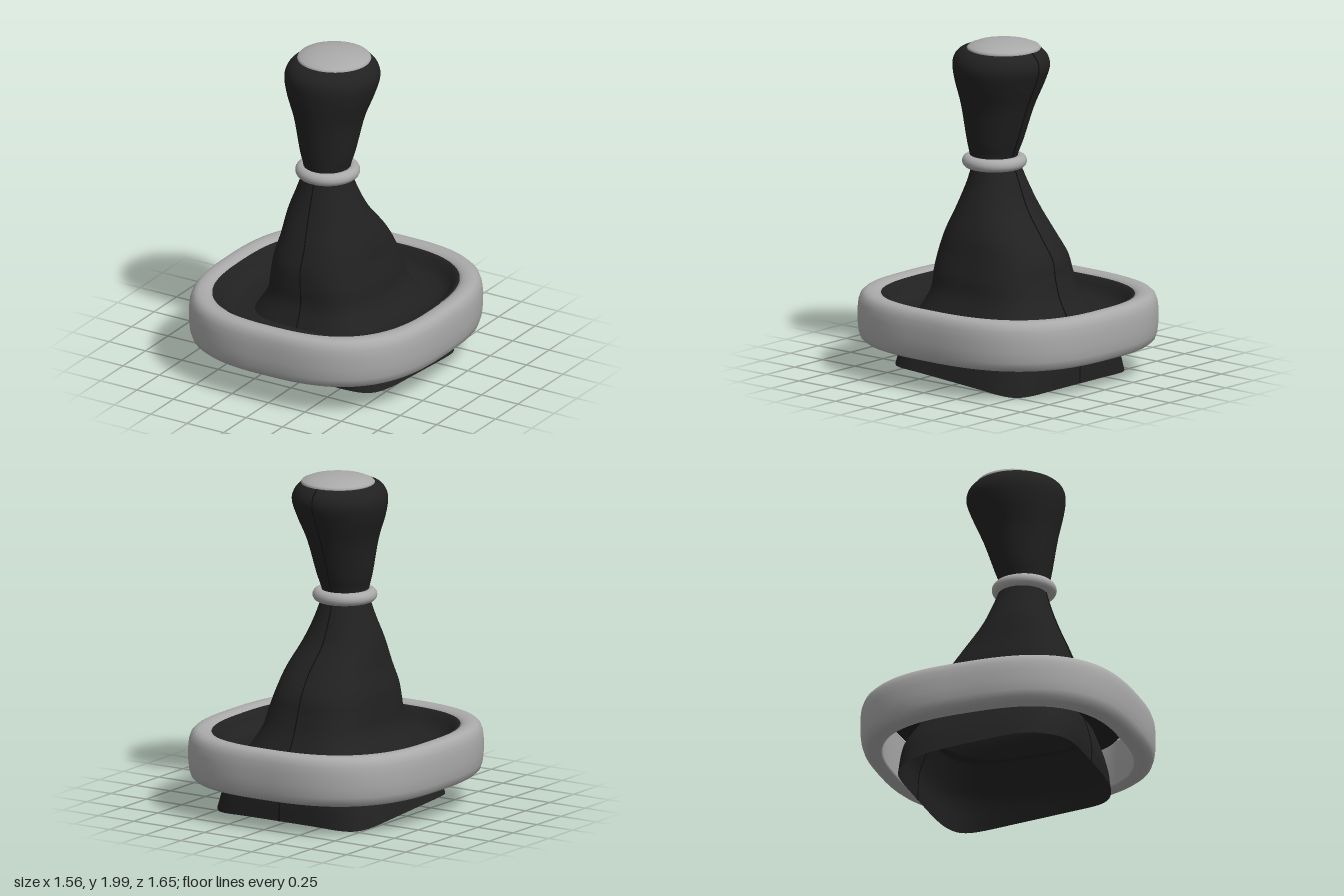
import * as THREE from 'three';

const grey = new THREE.MeshStandardMaterial({ color: 0xaaaaaa });
grey.name = 'satin grey';
const black = new THREE.MeshStandardMaterial({ color: 0x212121, side: THREE.DoubleSide });
black.name = 'black leather';
const dark = new THREE.MeshStandardMaterial({ color: 0x0e0e0e });
dark.name = 'seam black';

// Point on a rounded-square section [y, xMin, xMax, zFront, zBack, exponent]
function sectionPoint([y, x0, x1, zf, zb, n], angle) {
  const c = Math.cos(angle), s = Math.sin(angle);
  const px = Math.sign(c) * Math.abs(c) ** (2 / n);
  const pz = Math.sign(s) * Math.abs(s) ** (2 / n);
  return new THREE.Vector3((x0 + x1) / 2 + (x1 - x0) / 2 * px, y, (zf + zb) / 2 + (zf - zb) / 2 * pz);
}

// Smoothly resample the section rows
function refine(rows, count) {
  const a = new THREE.CatmullRomCurve3(rows.map(r => new THREE.Vector3(r[0], r[1], r[2])), false, 'catmullrom');
  const b = new THREE.CatmullRomCurve3(rows.map(r => new THREE.Vector3(r[3], r[4], r[5])), false, 'catmullrom');
  return Array.from({ length: count + 1 }, (_, i) => [
    ...a.getPoint(i / count).toArray(), ...b.getPoint(i / count).toArray()]);
}

// Skin the sections into one smooth surface
function loft(rows, name, material, place = p => p, segments = 96) {
  const positions = [], index = [];
  rows.forEach((row, i) => {
    for (let j = 0; j < segments; j++) {
      const angle = j / segments * Math.PI * 2;
      positions.push(...place(sectionPoint(row, angle), angle).toArray());
      if (i === rows.length - 1) continue;
      const k = (j + 1) % segments, a = i * segments, b = a + segments;
      index.push(a + j, b + j, a + k, a + k, b + j, b + k);
    }
  });
  const g = new THREE.BufferGeometry();
  g.setAttribute('position', new THREE.Float32BufferAttribute(positions, 3));
  g.setIndex(index);
  g.computeVertexNormals();
  const mesh = new THREE.Mesh(g, material);
  mesh.name = name;
  return mesh;
}

// Thin stitched line running up a lofted surface
function seam(rows, angle, name, place = p => p) {
  const curve = new THREE.CatmullRomCurve3(rows.map(r => place(sectionPoint(r, angle), angle)));
  const mesh = new THREE.Mesh(new THREE.TubeGeometry(curve, 60, 0.004, 6), dark);
  mesh.name = name;
  return mesh;
}

// Rows inset from the outline of the surround: [inset, y]
const surroundRows = profile => profile.map(([d, y]) => [y, -0.78 + d, 0.78 - d, 0.825 - d, -0.825 + d, 2.7]);

export function createModel() {
  const model = new THREE.Group();
  model.name = 'gearShifter';

  // Base surround
  model.add(loft(surroundRows([
    [0.125, 0.47], [0.125, 0.21], [0.115, 0.2], [0.07, 0.197], [0.04, 0.203], [0.018, 0.222], [0.006, 0.26],
    [0, 0.32], [0, 0.39], [0.005, 0.44], [0.016, 0.473], [0.034, 0.492], [0.055, 0.5],
    [0.085, 0.5], [0.11, 0.492], [0.128, 0.478], [0.125, 0.47],
  ]), 'baseSurround', grey));

  // Sunken trim between surround and boot
  model.add(loft(surroundRows([
    [0.126, 0.483], [0.135, 0.485], [0.15, 0.475], [0.17, 0.445], [0.19, 0.415],
    [0.22, 0.395], [0.27, 0.385], [0.33, 0.385], [0.38, 0.39],
  ]), 'innerTrim', black));

  // Flexible boot, with a hem that hangs lower at the back and corners
  const bootRows = refine([
    [0.065, -0.55, 0.58, 0.515, -0.57, 4.5],
    [0.2, -0.5, 0.53, 0.515, -0.56, 4],
    [0.35, -0.42, 0.45, 0.48, -0.5, 3.4],
    [0.5, -0.335, 0.37, 0.425, -0.42, 3],
    [0.62, -0.315, 0.345, 0.42, -0.38, 2.8],
    [0.73, -0.3, 0.315, 0.41, -0.352, 2.6],
    [0.85, -0.265, 0.285, 0.37, -0.27, 2.5],
    [1.0, -0.232, 0.225, 0.31, -0.15, 2.3],
    [1.14, -0.182, 0.17, 0.262, -0.085, 2.1],
    [1.26, -0.14, 0.135, 0.23, -0.04, 2],
  ], 45);
  const hang = (p, angle) => {
    const w = THREE.MathUtils.clamp((0.2 - p.y) / 0.135, 0, 1);
    p.y += w * (0.065 * p.z - 0.018 * Math.abs(Math.sin(2 * angle)) ** 2);
    return p;
  };
  model.add(loft(bootRows, 'boot', black, hang));
  model.add(seam(bootRows, Math.PI / 2, 'bootFrontSeam', hang));
  model.add(seam(bootRows, -Math.PI / 2, 'bootBackSeam', hang));

  // Collar ring at the top of the boot
  const collar = new THREE.Mesh(new THREE.TorusGeometry(0.152, 0.038, 20, 64), grey);
  collar.name = 'collarRing';
  collar.rotation.x = Math.PI / 2;
  collar.position.set(0.005, 1.263, 0.1);
  model.add(collar);

  // Grip, leaning back and swelling toward the top
  const gripRows = refine([
    [1.25, -0.13, 0.14, 0.235, -0.03, 2],
    [1.31, -0.135, 0.145, 0.25, -0.04, 2],
    [1.4, -0.16, 0.168, 0.267, -0.075, 2],
    [1.6, -0.2, 0.207, 0.3, -0.145, 2],
    [1.74, -0.25, 0.257, 0.328, -0.205, 2],
    [1.84, -0.272, 0.282, 0.34, -0.242, 2],
    [1.9, -0.258, 0.268, 0.33, -0.235, 2],
    [1.94, -0.225, 0.235, 0.29, -0.2, 2],
    [1.953, -0.19, 0.2, 0.24, -0.17, 2],
  ], 40);
  model.add(loft(gripRows, 'grip', black));
  model.add(seam(gripRows.slice(0, 38), -Math.PI / 2, 'gripBackSeam'));

  // Domed cap
  const dome = [[0.2, 1.93], [0.213, 1.943], [0.217, 1.953], [0.208, 1.964], [0.17, 1.979], [0.12, 1.991], [0.06, 1.998], [0, 2]];
  const cap = new THREE.Mesh(new THREE.LatheGeometry(dome.map(p => new THREE.Vector2(...p)), 64), grey);
  cap.name = 'gripCap';
  cap.position.set(0.005, 0, 0.028);
  model.add(cap);

  return model;
}
